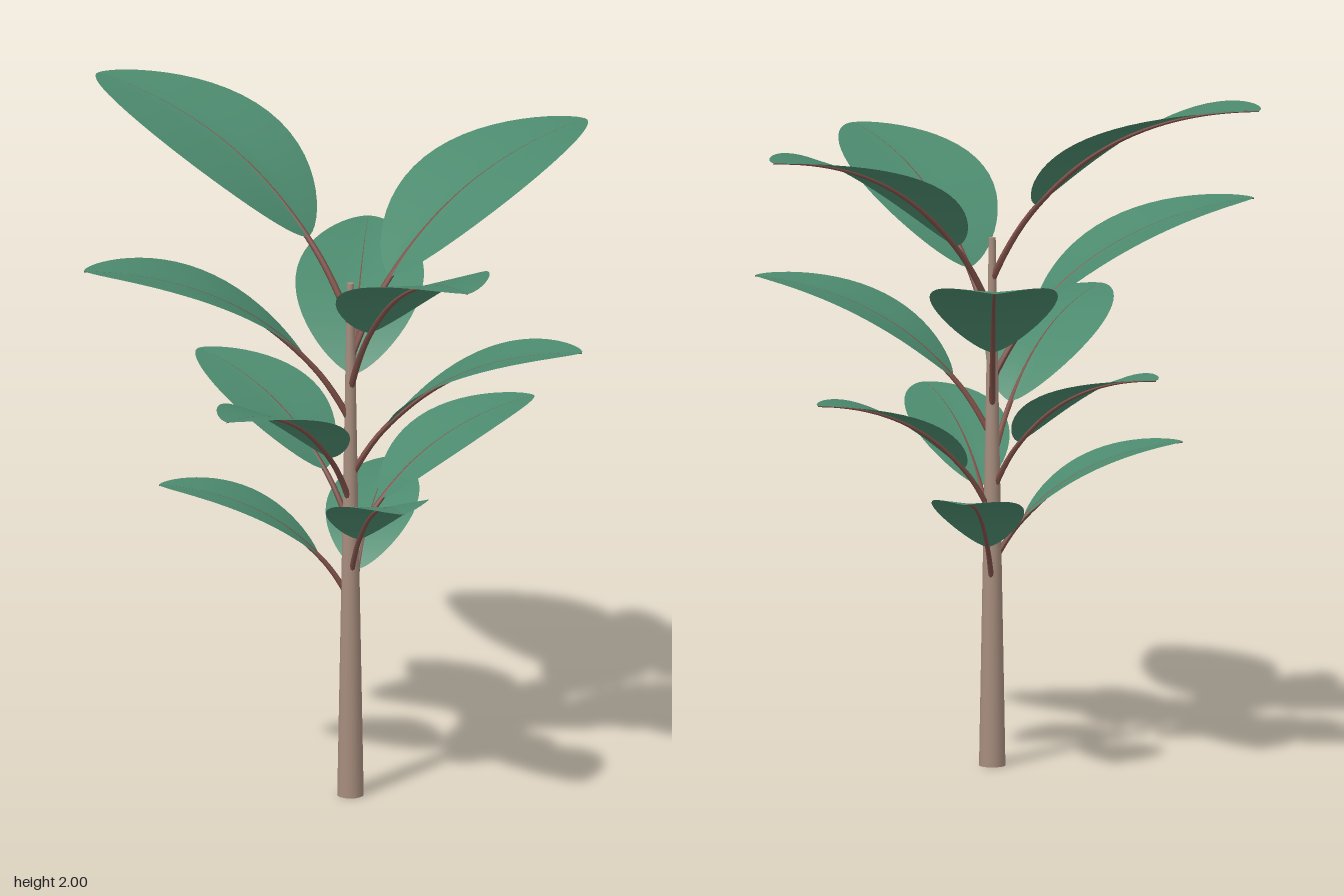
import * as THREE from 'three';

const leafMat = new THREE.MeshStandardMaterial({ color: 0x4c8a6e, side: THREE.DoubleSide });
const stalkMat = new THREE.MeshStandardMaterial({ color: 0x7d4f47 });
const trunkMat = new THREE.MeshStandardMaterial({ color: 0xa68c7d });

const AXIS_X = 0.037, AXIS_Z = 0.008;
const BLADE_START = 0.25; // where the blade begins along the stalk curve

// Arching centre line of one leaf, pointing along +x
function archCurve(reach, rise) {
  return new THREE.QuadraticBezierCurve3(
    new THREE.Vector3(0, 0, 0),
    new THREE.Vector3(0.28 * reach, 0.9 * rise, 0),
    new THREE.Vector3(reach, rise, 0)
  );
}

// Oval blade that follows the curve, slightly folded along the midrib
function bladeGeometry(curve, halfWidth) {
  const geo = new THREE.PlaneGeometry(2, 1, 8, 28);
  const pos = geo.attributes.position;
  for (let i = 0; i < pos.count; i++) {
    const side = pos.getX(i);
    const u = (1 - Math.cos(Math.PI * (pos.getY(i) + 0.5))) / 2;
    const t = THREE.MathUtils.lerp(BLADE_START, 1, u);
    const w = halfWidth * Math.pow(Math.max(0, Math.sin(Math.PI * u)), 0.65);
    const p = curve.getPoint(t);
    const tan = curve.getTangent(t);
    const lift = 0.09 * w * Math.abs(side);
    pos.setXYZ(i, p.x - tan.y * lift, p.y + tan.x * lift, side * w);
  }
  geo.computeVertexNormals();
  return geo;
}

// Stalk that runs on as a thinning midrib under the blade
function stalkGeometry(curve, radius) {
  const steps = 28, sides = 8;
  const geo = new THREE.TubeGeometry(curve, steps, radius, sides, false);
  const pos = geo.attributes.position;
  const v = new THREE.Vector3();
  for (let i = 0; i < pos.count; i++) {
    const t = Math.floor(i / (sides + 1)) / steps;
    const c = curve.getPointAt(t);
    const k = THREE.MathUtils.lerp(1, 0.2, t);
    v.fromBufferAttribute(pos, i).sub(c).multiplyScalar(k).add(c);
    // sink the midrib so that it shows on the underside only
    v.y -= radius * k * 0.9 * THREE.MathUtils.smoothstep(t, 0.15, 0.35);
    pos.setXYZ(i, v.x, v.y, v.z);
  }
  geo.computeVertexNormals();
  return geo;
}

function makeLeaf(reach, rise) {
  const leaf = new THREE.Group();
  const curve = archCurve(reach, rise);
  const blade = new THREE.Mesh(bladeGeometry(curve, 0.25 * reach), leafMat);
  blade.name = 'leafBlade';
  const stalk = new THREE.Mesh(stalkGeometry(curve, 0.006 + 0.005 * reach), stalkMat);
  stalk.name = 'leafStalk';
  leaf.add(blade, stalk);
  return leaf;
}

export function createModel() {
  const plant = new THREE.Group();
  plant.name = 'plant';

  // Tapering trunk
  const trunk = new THREE.Mesh(new THREE.CylinderGeometry(0.01, 0.038, 1.54, 16, 6), trunkMat);
  trunk.name = 'trunk';
  trunk.position.set(AXIS_X, 0.77, AXIS_Z);
  plant.add(trunk);

  // Leaves spiral down the trunk, getting shorter: height of each tip
  const tips = [2.0, 1.865, 1.745, 1.62, 1.51, 1.4, 1.3, 1.2, 1.11, 1.02, 0.935, 0.855];
  tips.forEach((tipY, i) => {
    const reach = 0.91 - 0.048 * i + 0.0012 * i * i;
    const rise = 0.64 * reach;
    const azimuth = THREE.MathUtils.degToRad(-145 + 104.2 * i);
    const leaf = makeLeaf(reach, rise);
    leaf.name = 'leaf' + (i + 1);
    leaf.position.set(AXIS_X, tipY - rise, AXIS_Z);
    leaf.rotation.y = -azimuth;
    plant.add(leaf);
  });

  return plant;
}
